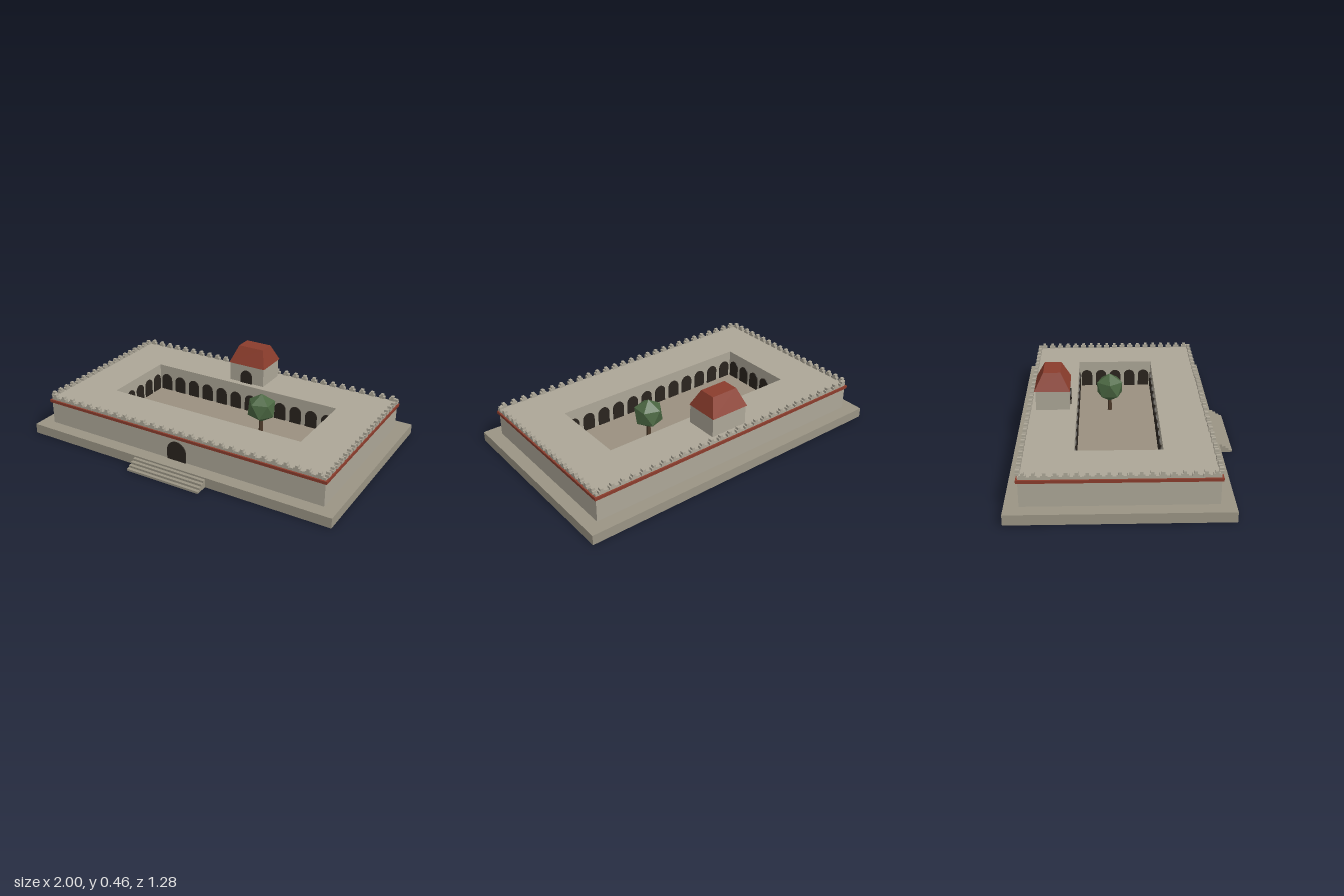
import * as THREE from 'three';
import { mergeGeometries } from 'three/addons/utils/BufferGeometryUtils.js';

const mat = (color, extra = {}) => new THREE.MeshStandardMaterial({ color, flatShading: true, ...extra });
const stone = mat(0xaca697);
const paving = mat(0x9a9080);
const plinthStone = mat(0x9a9484, { side: THREE.DoubleSide });
const tile = mat(0x8a3c2c);
const dark = mat(0x2a241e);
const leaf = mat(0x4a6641);
const bark = mat(0x4d3a2a);

// Axis-aligned box given by its extents
function box(x0, x1, y0, y1, z0, z1) {
  return new THREE.BoxGeometry(x1 - x0, y1 - y0, z1 - z0)
    .translate((x0 + x1) / 2, (y0 + y1) / 2, (z0 + z1) / 2);
}

// Flat rectangular ring, raised from y0 to y1; outer and inner are [x, zBack, zFront]
function ring(outer, inner, y0, y1) {
  const corners = ([x, zb, zf]) => [[-x, -zf], [x, -zf], [x, -zb], [-x, -zb]].map((p) => new THREE.Vector2(...p));
  const shape = new THREE.Shape(corners(outer));
  shape.holes.push(new THREE.Path(corners(inner)));
  return new THREE.ExtrudeGeometry(shape, { depth: y1 - y0, bevelEnabled: false })
    .rotateX(-Math.PI / 2).translate(0, y0, 0);
}

// Thin round-headed opening, standing on y = 0 and facing +z
function arch(width, height, depth) {
  const r = width / 2;
  const shape = new THREE.Shape();
  shape.moveTo(-r, 0);
  shape.lineTo(r, 0);
  shape.lineTo(r, height - r);
  shape.absarc(0, height - r, r, 0, Math.PI, false);
  shape.lineTo(-r, 0);
  return new THREE.ExtrudeGeometry(shape, { depth, bevelEnabled: false, curveSegments: 8 })
    .translate(0, 0, -depth / 2);
}

export function createModel() {
  const group = new THREE.Group();
  const add = (name, geometry, material) => {
    const mesh = new THREE.Mesh(geometry, material);
    mesh.name = name;
    group.add(mesh);
  };

  // Plinth, hollow and open underneath
  const plinth = box(-1, 1, 0, 0.06, -0.64, 0.56);
  const index = [...plinth.index.array];
  index.splice(18, 6);
  plinth.setIndex(index);
  add('plinth', plinth, plinthStone);

  // Front steps
  const steps = [];
  for (let i = 0; i < 4; i++) {
    steps.push(box(-0.24, 0.24, i * 0.0125, (i + 1) * 0.0125, 0.56, 0.64 - i * 0.02));
  }
  add('frontSteps', mergeGeometries(steps), plinthStone);

  // Four wings around the courtyard
  const court = [0.64, -0.28, 0.2];
  add('wings', ring([0.92, -0.56, 0.48], court, 0.06, 0.232), stone);
  add('redCornice', ring([0.93, -0.57, 0.49], [0.9, -0.54, 0.46], 0.2, 0.217), tile);
  add('courtyardFloor', box(-0.64, 0.64, 0.059, 0.063, -0.28, 0.2), paving);

  // Stepped merlons along all four roof edges
  const merlons = [];
  const addMerlon = (x, z, alongX) => {
    for (const [w, d, y0, y1] of [[0.036, 0.022, 0.23, 0.246], [0.018, 0.022, 0.246, 0.26]]) {
      const hx = (alongX ? w : d) / 2, hz = (alongX ? d : w) / 2;
      merlons.push(box(x - hx, x + hx, y0, y1, z - hz, z + hz));
    }
  };
  for (let i = 0; i < 28; i++) {
    const x = -0.92 + (i + 0.5) * 1.84 / 28;
    for (const z of [-0.56, 0.48]) addMerlon(x, z, true);
  }
  for (let i = 0; i < 19; i++) {
    const z = -0.56 + (i + 0.5) * 1.04 / 19;
    for (const x of [-0.92, 0.92]) addMerlon(x, z, false);
  }
  add('merlons', mergeGeometries(merlons), stone);

  // Arcade openings on the courtyard walls
  const arcade = [];
  for (let i = 0; i < 12; i++) {
    const x = -0.64 + (i + 0.5) * 1.28 / 12;
    for (const z of [-0.28, 0.2]) arcade.push(arch(0.076, 0.115, 0.012).translate(x, 0.058, z));
  }
  for (let i = 0; i < 5; i++) {
    const z = -0.28 + (i + 0.5) * 0.48 / 5;
    for (const x of [-0.64, 0.64]) {
      arcade.push(arch(0.072, 0.115, 0.012).rotateY(Math.PI / 2).translate(x, 0.058, z));
    }
  }
  add('arcadeOpenings', mergeGeometries(arcade), dark);
  add('gate', arch(0.126, 0.122, 0.012).translate(0, 0.058, 0.48), dark);

  // Roof pavilion with a truncated hip roof
  add('pavilion', box(-0.12, 0.12, 0.23, 0.35, -0.52, -0.32), stone);
  add('pavilionDoor', arch(0.08, 0.087, 0.01).translate(0, 0.23, -0.319), dark);
  const roof = new THREE.BoxGeometry(0.25, 0.105, 0.21);
  const p = roof.attributes.position;
  for (let i = 0; i < p.count; i++) {
    if (p.getY(i) > 0) p.setXYZ(i, p.getX(i) * 0.68, p.getY(i), p.getZ(i) * 0.48);
  }
  roof.computeVertexNormals();
  add('pavilionRoof', roof.translate(0, 0.4025, -0.422), tile);

  // Courtyard tree
  add('treeTrunk', new THREE.CylinderGeometry(0.01, 0.014, 0.122, 6).translate(0.24, 0.119, -0.08), bark);
  const crown = new THREE.IcosahedronGeometry(0.093, 0).rotateZ(Math.atan(2 / (1 + Math.sqrt(5))));
  add('treeCrown', crown.translate(0.24, 0.219, -0.08), leaf);

  return group;
}
